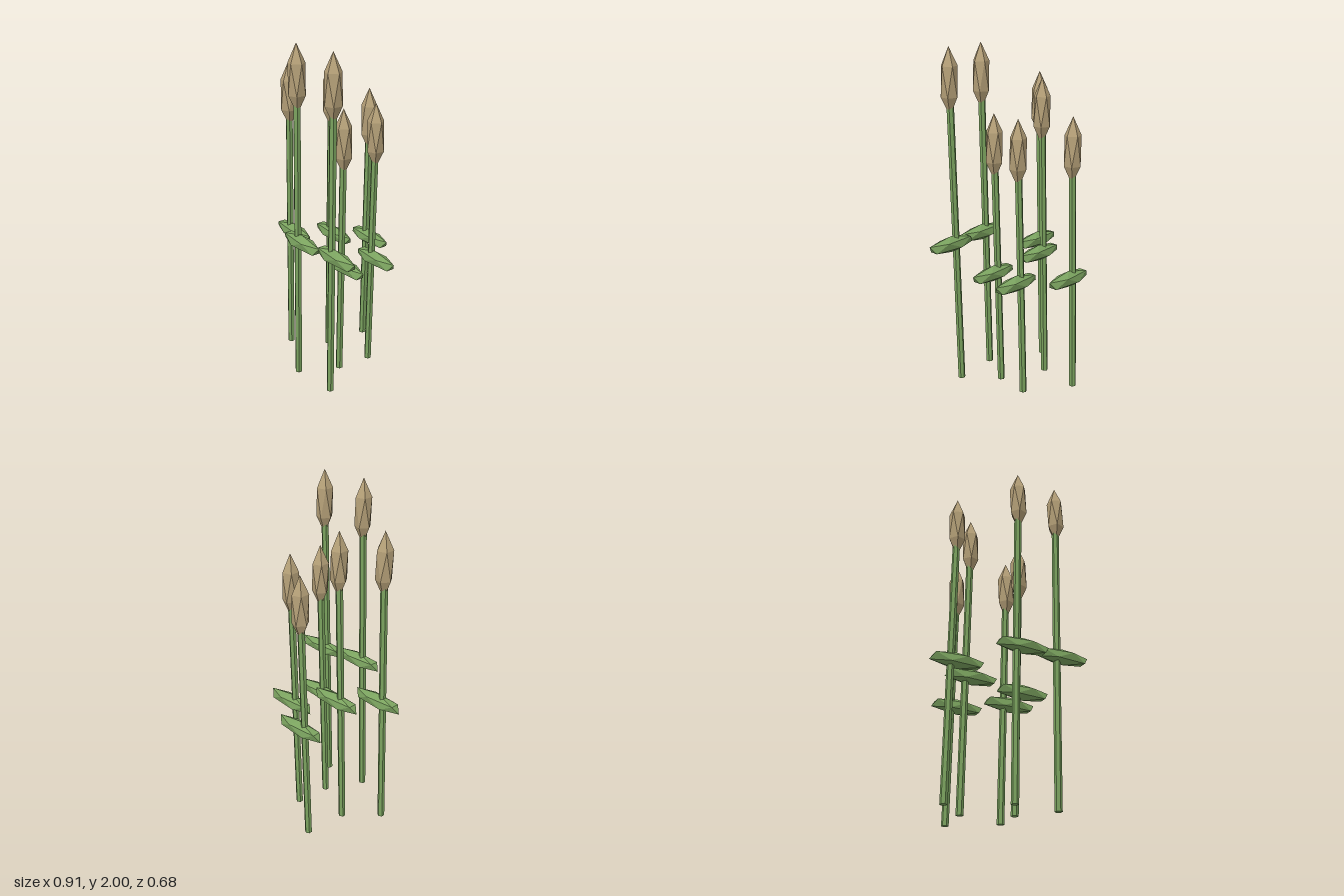
import * as THREE from 'three';

// Faceted ellipsoid: icosahedron standing on a pole, an upper ring vertex on +x
function facetedPod(rx, ry, rz) {
  const pos = [0, 1, 0];
  const ringR = 2 / Math.sqrt(5), ringY = 1 / Math.sqrt(5);
  for (const [y, start] of [[ringY, 0], [-ringY, Math.PI / 5]]) {
    for (let i = 0; i < 5; i++) {
      const a = start + (i * Math.PI * 2) / 5;
      pos.push(ringR * Math.cos(a), y, -ringR * Math.sin(a));
    }
  }
  pos.push(0, -1, 0);
  const index = [];
  for (let i = 0; i < 5; i++) {
    const u = 1 + i, un = 1 + ((i + 1) % 5);
    const l = 6 + i, ln = 6 + ((i + 1) % 5);
    index.push(0, u, un, u, l, un, un, l, ln, 11, ln, l);
  }
  let geo = new THREE.BufferGeometry();
  geo.setAttribute('position', new THREE.Float32BufferAttribute(pos, 3));
  geo.setIndex(index);
  geo.scale(rx, ry, rz);
  geo = geo.toNonIndexed();
  geo.computeVertexNormals();
  return geo;
}

// Six-sided stalk, sheared so that it leans while its foot stays flat
function leaningStem(height, lean) {
  const geo = new THREE.CylinderGeometry(0.021, 0.021, height, 6).toNonIndexed();
  geo.translate(0, height / 2, 0);
  const p = geo.attributes.position;
  for (let i = 0; i < p.count; i++) p.setX(i, p.getX(i) + lean * (p.getY(i) / height - 1));
  geo.computeVertexNormals();
  return geo;
}

export function createModel() {
  const model = new THREE.Group();
  model.name = 'reeds';

  const green = new THREE.MeshStandardMaterial({ color: 0x7ba35f, flatShading: true });
  green.name = 'reed green';
  const tan = new THREE.MeshStandardMaterial({ color: 0xb5a078, flatShading: true });
  tan.name = 'seed head tan';

  const headGeo = facetedPod(0.054, 0.19, 0.054);
  const leafGeo = facetedPod(0.182, 0.048, 0.047);

  // x, z of the head, and height of the head centre
  const reeds = [
    [-0.113, -0.297, 1.45],
    [0.143, -0.131, 1.45],
    [-0.143, -0.043, 1.63],
    [0.12, 0.074, 1.45],
    [-0.31, 0.128, 1.63],
    [0.004, 0.292, 1.81],
    [0.275, 0.26, 1.81],
  ];

  reeds.forEach(([x, z, h], i) => {
    const reed = new THREE.Group();
    reed.name = `reed${i + 1}`;
    reed.position.set(x, 0, z);

    const stem = new THREE.Mesh(leaningStem(h, 0.042), green);
    stem.name = 'stem';
    const leaf = new THREE.Mesh(leafGeo, green);
    leaf.name = 'leaf';
    leaf.position.set(0.016, h * 0.485, 0);
    const head = new THREE.Mesh(headGeo, tan);
    head.name = 'seedHead';
    head.position.y = h;

    reed.add(stem, leaf, head);
    model.add(reed);
  });
  return model;
}
